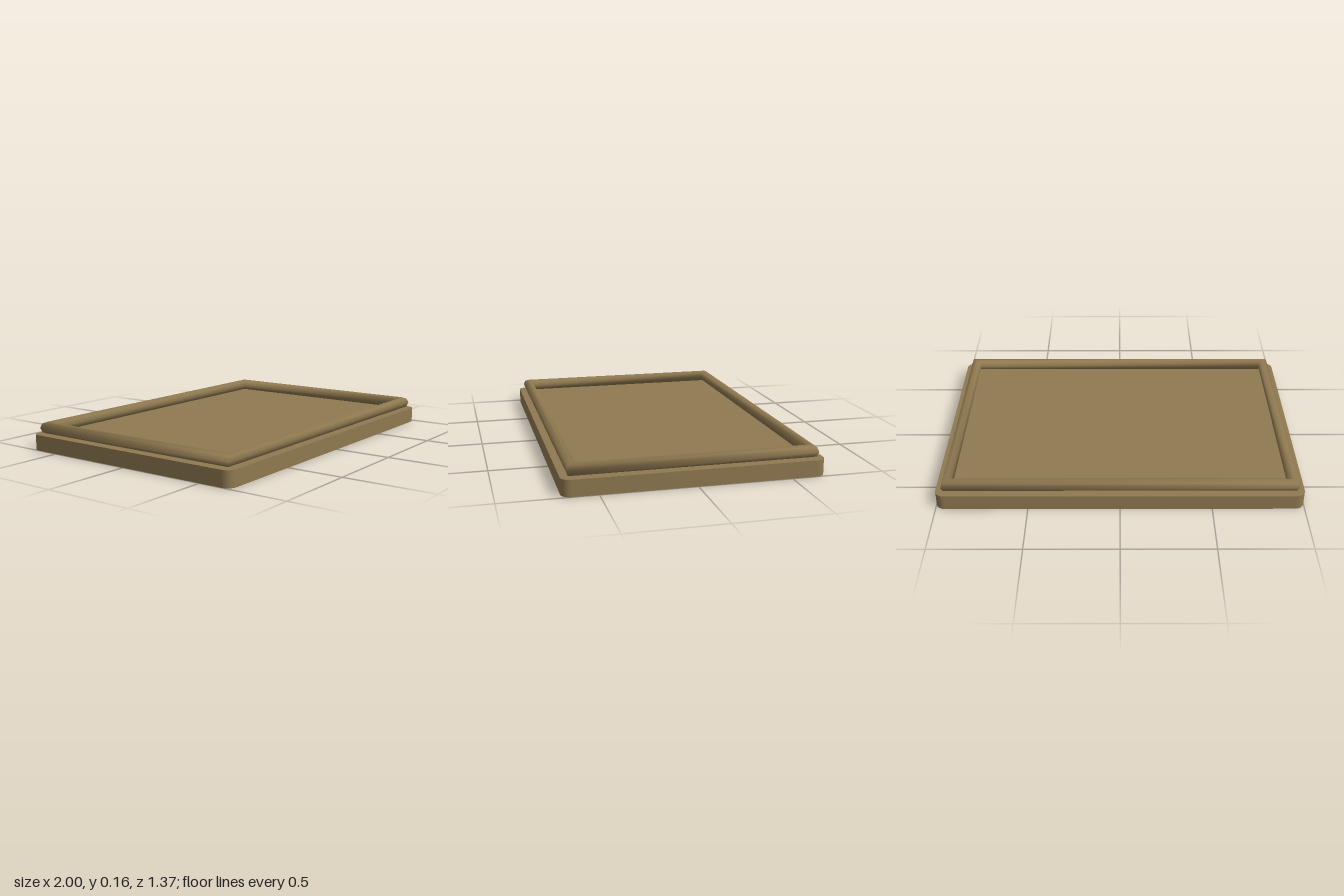
import * as THREE from 'three';
import { toCreasedNormals } from 'three/addons/utils/BufferGeometryUtils.js';

const wood = new THREE.MeshStandardMaterial({ color: 0x8f7950 });

// Rounded rectangle outline centred on the origin
function roundedRect(w, d, r) {
  const x = w / 2, y = d / 2, s = new THREE.Shape();
  s.absarc(x - r, y - r, r, 0, Math.PI / 2);
  s.absarc(-x + r, y - r, r, Math.PI / 2, Math.PI);
  s.absarc(-x + r, -y + r, r, Math.PI, Math.PI * 1.5);
  s.absarc(x - r, -y + r, r, Math.PI * 1.5, Math.PI * 2);
  s.closePath();
  return s;
}

// Round bead swept around a rectangle with mitred corners
function beadFrame(halfX, halfZ, y, rx, ry, sides) {
  const pos = [], index = [];
  const corners = [[1, 1], [1, -1], [-1, -1], [-1, 1]];
  corners.forEach(([sx, sz], c) => {
    for (let i = 0; i < sides; i++) {
      const a = (i / sides) * Math.PI * 2, out = rx * Math.cos(a);
      pos.push(sx * (halfX + out), y + ry * Math.sin(a), sz * (halfZ + out));
      const j = (i + 1) % sides, n = ((c + 1) % 4) * sides, k = c * sides;
      index.push(k + i, n + i, n + j, k + i, n + j, k + j);
    }
  });
  const g = new THREE.BufferGeometry();
  g.setAttribute('position', new THREE.Float32BufferAttribute(pos, 3));
  g.setIndex(index);
  g.computeVertexNormals(); // shared corners shade smoothly
  return g;
}

export function createModel() {
  const group = new THREE.Group();
  group.name = 'framedTray';

  // Base slab with rounded corners
  const slab = new THREE.ExtrudeGeometry(roundedRect(2, 1.37, 0.05), {
    depth: 0.088, bevelEnabled: false, curveSegments: 8,
  });
  slab.rotateX(-Math.PI / 2);
  const base = new THREE.Mesh(toCreasedNormals(slab, Math.PI / 6), wood);
  base.name = 'baseSlab';

  // Raised rim resting on the slab
  const rim = new THREE.Mesh(beadFrame(0.935, 0.624, 0.12, 0.031, 0.035, 8), wood);
  rim.name = 'raisedRim';

  group.add(base, rim);
  return group;
}
